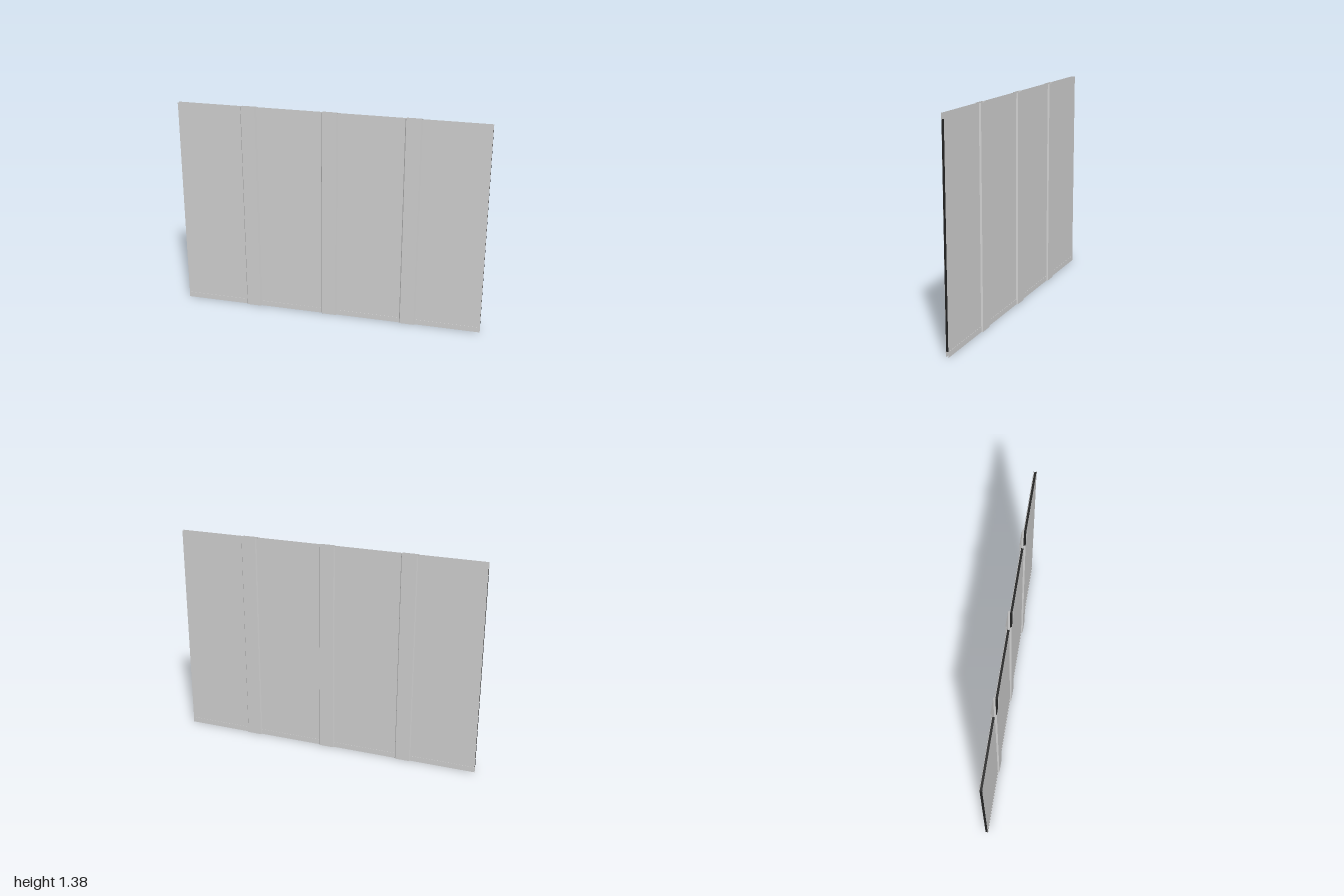
import * as THREE from 'three';

const H = 1.385, RIM = 0.035;        // wall height, height of the raised rims
const PITCH = 0.526, PANEL_W = 0.422; // panel spacing and width
const grey = new THREE.MeshStandardMaterial({ color: 0xcccccc, side: THREE.DoubleSide, flatShading: true });
const dark = new THREE.MeshStandardMaterial({ color: 0x222222 });

// Thin folded sheet: sweeps an open profile from one end to the other.
// place(a, b, t) turns profile point (a, b) at end t (0 or 1) into [x, y, z].
function foldedSheet(profile, place) {
  const pos = [];
  for (let i = 0; i < profile.length - 1; i++) {
    const [p, q] = [profile[i], profile[i + 1]];
    const a = place(...p, 0), b = place(...p, 1), c = place(...q, 1), d = place(...q, 0);
    pos.push(...a, ...b, ...c, ...a, ...c, ...d);
  }
  const geo = new THREE.BufferGeometry();
  geo.setAttribute('position', new THREE.Float32BufferAttribute(pos, 3));
  geo.computeVertexNormals();
  return geo;
}

export function createModel() {
  const group = new THREE.Group();
  const add = (name, geo, mat, x, turn = 0) => {
    const mesh = new THREE.Mesh(geo, mat);
    mesh.name = name;
    mesh.position.x = x;
    mesh.rotation.y = turn;
    group.add(mesh);
  };

  // Panel skin: (y, z) profile with a slightly raised rim at bottom and top
  const skin = foldedSheet(
    [[0, 0.009], [RIM, 0.009], [RIM, 0.0075], [H - RIM, 0.0075], [H - RIM, 0.009], [H, 0.009]],
    (y, z, t) => [(0.5 - t) * PANEL_W, y, z]);

  // Joint cover: (x, z) profile with sloping sides, open at both ends
  const cover = foldedSheet(
    [[-0.0525, 0.0075], [-0.046, 0.018], [0.046, 0.018], [0.0525, 0.0075]],
    (x, z, t) => [x, (1 - t) * H, z]);

  // Core that fills a panel between its skins, short of the rims
  const core = new THREE.BoxGeometry(PANEL_W, H - 2 * RIM, 0.0135).translate(0, H / 2, 0);

  // Four panels
  for (let i = 0; i < 4; i++) {
    const x = (i - 1.5) * PITCH;
    add('panelCore', core, dark, x);
    add('frontSkin', skin, grey, x);
    add('backSkin', skin, grey, x, Math.PI);
  }

  // Three joints, covered on both faces
  for (let i = -1; i <= 1; i++) {
    add('frontJointCover', cover, grey, i * PITCH);
    add('backJointCover', cover, grey, i * PITCH, Math.PI);
  }
  return group;
}
